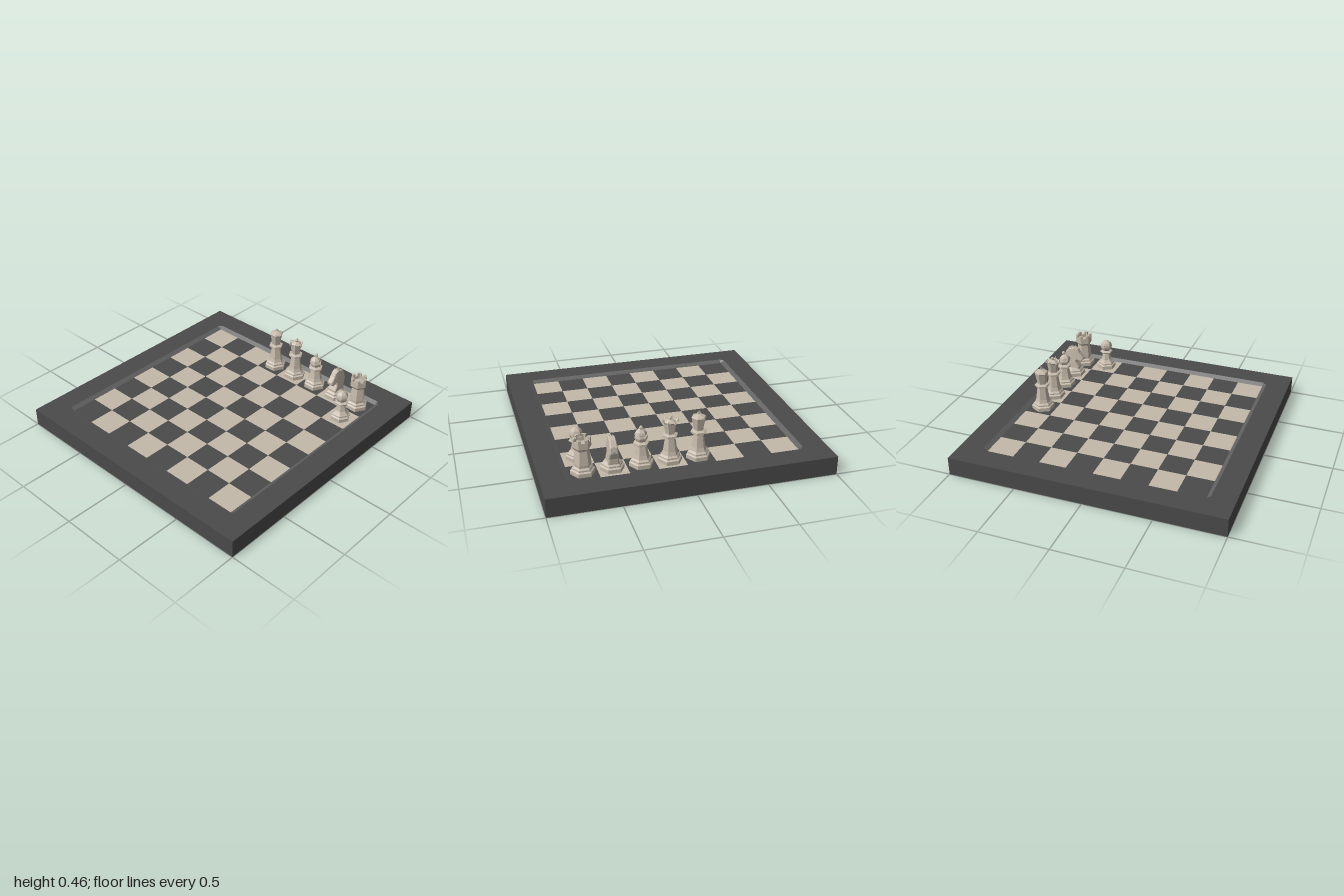
import * as THREE from 'three';

const CREAM = 0xc4b9aa, DARK = 0x4a4a4a;
const FLOOR = 0.115, TOP = 0.135;
const mat = (color, side = THREE.FrontSide) =>
  new THREE.MeshStandardMaterial({ color, side, flatShading: true });
const cream = mat(CREAM), creamBoth = mat(CREAM, THREE.DoubleSide);
const dark = mat(DARK), groove = mat(0x626262, THREE.DoubleSide);

function add(parent, name, geometry, material, x = 0, y = 0, z = 0) {
  const mesh = new THREE.Mesh(geometry, material);
  mesh.name = name;
  mesh.position.set(x, y, z);
  parent.add(mesh);
  return mesh;
}

// Six-sided turned part; corners point along +x and -x
function turned(parent, name, profile) {
  const points = profile.map(([r, y]) => new THREE.Vector2(r, y));
  return add(parent, name, new THREE.LatheGeometry(points, 6, Math.PI / 2), creamBoth);
}

const foot = r => [[0, 0], [r, 0], [r, 0.028], [r * 0.85, 0.036], [r * 0.85, 0.046], [r * 0.7, 0.058]];

function piece(parent, name, x, z) {
  const g = new THREE.Group();
  g.name = name;
  g.position.set(x, FLOOR, z);
  parent.add(g);
  return g;
}

// Shared stem with a double collar, ending at height h
const stem = h => [...foot(0.085), [0.05, 0.085], [0.036, h - 0.022], [0.048, h - 0.02],
  [0.048, h - 0.012], [0.056, h - 0.008], [0.056, h], [0.034, h + 0.008]];

function king(parent) {
  const g = piece(parent, 'king', -0.1, -0.7);
  turned(g, 'kingBody', [...stem(0.2), [0.034, 0.215], [0.05, 0.295], [0.053, 0.3],
    [0.047, 0.308], [0.02, 0.318], [0.009, 0.322], [0, 0.322]]);
  add(g, 'crossUpright', new THREE.BoxGeometry(0.008, 0.03, 0.008), cream, 0, 0.329);
  add(g, 'crossBar', new THREE.BoxGeometry(0.024, 0.008, 0.008), cream, 0, 0.331);
}

function queen(parent) {
  const g = piece(parent, 'queen', 0.1, -0.7);
  turned(g, 'queenBody', [...stem(0.2), [0.034, 0.215], [0.046, 0.285], [0.055, 0.297],
    [0.042, 0.294], [0.032, 0.302], [0.014, 0.312], [0, 0.316]]);
  for (let i = 0; i < 6; i++) {
    const a = i * Math.PI / 3;
    const spike = add(g, 'crownPoint', new THREE.ConeGeometry(0.013, 0.028, 4), cream,
      Math.cos(a) * 0.05, 0.303, Math.sin(a) * 0.05);
    spike.rotation.set(0, -a, -0.35);
  }
  add(g, 'crownBall', new THREE.SphereGeometry(0.013, 6, 5), cream, 0, 0.32);
}

function bishop(parent) {
  const g = piece(parent, 'bishop', 0.3, -0.7);
  turned(g, 'bishopBody', [...stem(0.17), [0.032, 0.18], [0.042, 0.19], [0.047, 0.207], [0.045, 0.217], [0, 0.217]]);
  // Mitre lifted and tipped slightly to leave the slit
  turned(g, 'mitre', [[0, 0.224], [0.045, 0.224], [0.038, 0.242], [0.024, 0.256], [0.009, 0.266], [0, 0.266]]).rotation.x = 0.04;
  turned(g, 'mitreCore', [[0, 0.21], [0.034, 0.21], [0.034, 0.23], [0, 0.23]]);
  add(g, 'finial', new THREE.SphereGeometry(0.014, 6, 5), cream, 0, 0.276);
}

function knight(parent) {
  const g = piece(parent, 'knight', 0.5, -0.7);
  turned(g, 'knightBase', [...foot(0.085), [0.05, 0.066], [0, 0.066]]);
  // Side outline (forward, up), extruded across and narrowed toward the head
  const outline = [[-0.048, 0.05], [0.046, 0.05], [0.045, 0.075], [0.022, 0.115], [0.026, 0.143],
    [0.045, 0.137], [0.062, 0.128], [0.077, 0.14], [0.078, 0.155], [0.05, 0.192], [0.035, 0.22],
    [0.008, 0.235], [-0.035, 0.22], [-0.062, 0.185], [-0.067, 0.145], [-0.05, 0.1]];
  const geo = new THREE.ExtrudeGeometry(new THREE.Shape(outline.map(p => new THREE.Vector2(...p))),
    { depth: 0.05, bevelEnabled: true, bevelSize: 0.005, bevelThickness: 0.008, bevelSegments: 1 });
  geo.translate(0, 0, -0.025).rotateY(-Math.PI / 2);
  const p = geo.attributes.position;
  for (let i = 0; i < p.count; i++) {
    const t = THREE.MathUtils.clamp((p.getY(i) - 0.05) / 0.17, 0, 1);
    const snout = THREE.MathUtils.clamp((p.getZ(i) - 0.02) / 0.06, 0, 1) * 0.25;
    p.setX(i, p.getX(i) * (1.2 - 0.5 * t - snout));
  }
  add(g, 'horseHead', geo, cream);
  for (const s of [-1, 1])
    add(g, 'ear', new THREE.ConeGeometry(0.01, 0.036, 4), cream, s * 0.012, 0.233, 0.012);
  // Ridge along the back of the neck
  const ridge = [[-0.04, 0.08], [-0.066, 0.13], [-0.076, 0.16], [-0.07, 0.195], [-0.04, 0.234],
    [-0.005, 0.245], [-0.01, 0.22], [-0.05, 0.17]];
  const mane = new THREE.ExtrudeGeometry(new THREE.Shape(ridge.map(q => new THREE.Vector2(...q))),
    { depth: 0.014, bevelEnabled: false });
  mane.translate(0, 0, -0.007).rotateY(-Math.PI / 2);
  add(g, 'mane', mane, creamBoth);
}

function rook(parent) {
  const g = piece(parent, 'rook', 0.7, -0.7);
  turned(g, 'rookBody', [...foot(0.085), [0.061, 0.075], [0.049, 0.175], [0.06, 0.19], [0.064, 0.195],
    [0.064, 0.24], [0.048, 0.24], [0.048, 0.215], [0, 0.215]]);
  // Battlements, one wrapped round each corner
  const corner = a => [Math.cos(a), Math.sin(a)];
  for (let i = 0; i < 6; i++) {
    const c = corner(i * Math.PI / 3), l = corner((i - 1) * Math.PI / 3), r = corner((i + 1) * Math.PI / 3);
    const at = (to, radius) => new THREE.Vector2(
      (c[0] + (to[0] - c[0]) * 0.3) * radius, (c[1] + (to[1] - c[1]) * 0.3) * radius);
    const shape = new THREE.Shape([at(l, 0.064), new THREE.Vector2(...c).multiplyScalar(0.064), at(r, 0.064),
      at(r, 0.048), new THREE.Vector2(...c).multiplyScalar(0.048), at(l, 0.048)]);
    const geo = new THREE.ExtrudeGeometry(shape, { depth: 0.022, bevelEnabled: false }).rotateX(-Math.PI / 2);
    add(g, 'battlement', geo, cream, 0, 0.239);
  }
}

function pawn(parent) {
  const g = piece(parent, 'pawn', 0.7, -0.5);
  turned(g, 'pawnBody', [...foot(0.075), [0.04, 0.075], [0.027, 0.128], [0.05, 0.135], [0.052, 0.143],
    [0.03, 0.152], [0, 0.152]]);
  add(g, 'pawnHead', new THREE.SphereGeometry(0.047, 6, 10), cream, 0, 0.19);
}

function board(parent) {
  const g = new THREE.Group();
  g.name = 'board';
  parent.add(g);
  add(g, 'boardBase', new THREE.BoxGeometry(2, 0.11, 2), dark, 0, 0.055);

  // Raised frame around a recess with cut corners
  const a = 0.83, b = 0.8;
  const rim = [[a, -b], [a, b], [b, a], [-b, a], [-a, b], [-a, -b], [-b, -a], [b, -a]];
  const shape = new THREE.Shape([[-1, -1], [1, -1], [1, 1], [-1, 1]].map(p => new THREE.Vector2(...p)));
  shape.holes.push(new THREE.Path(rim.map(p => new THREE.Vector2(...p)).reverse()));
  const frame = new THREE.ExtrudeGeometry(shape, { depth: TOP - 0.11, bevelEnabled: false }).rotateX(-Math.PI / 2);
  add(g, 'frame', frame, dark, 0, 0.11);

  // Sloping border from the frame down to the squares
  const verts = [];
  rim.forEach((p, i) => {
    const q = rim[(i + 1) % 8];
    const inner = ([x, z]) => [Math.sign(x) * b, FLOOR, Math.sign(z) * b];
    const P = [p[0], TOP, p[1]], Q = [q[0], TOP, q[1]];
    verts.push(...P, ...inner(p), ...Q);
    if (i % 2 === 0) verts.push(...Q, ...inner(p), ...inner(q));
  });
  const slope = new THREE.BufferGeometry();
  slope.setAttribute('position', new THREE.Float32BufferAttribute(verts, 3));
  slope.computeVertexNormals();
  add(g, 'innerBorder', slope, groove);

  // Eight by eight squares
  const tile = new THREE.BoxGeometry(0.2, 0.01, 0.2);
  for (let i = 0; i < 8; i++)
    for (let j = 0; j < 8; j++)
      add(g, (i + j) % 2 ? 'darkSquare' : 'lightSquare', tile, (i + j) % 2 ? dark : cream,
        -0.7 + i * 0.2, FLOOR - 0.005, -0.7 + j * 0.2);
}

export function createModel() {
  const model = new THREE.Group();
  model.name = 'chessSet';
  for (const build of [board, king, queen, bishop, knight, rook, pawn]) build(model);
  return model;
}
